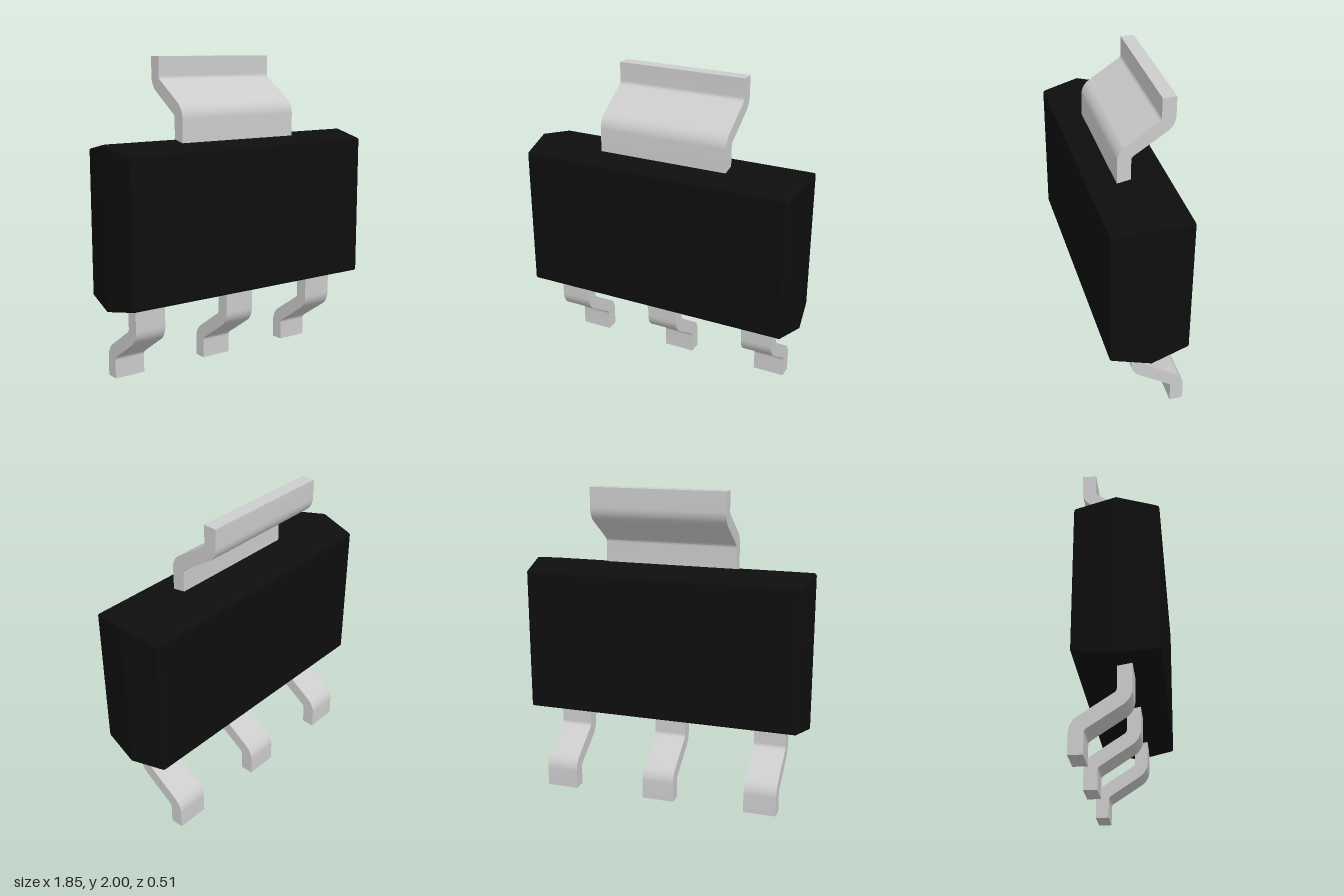
import * as THREE from 'three';
import { toCreasedNormals } from 'three/addons/utils/BufferGeometryUtils.js';

const THICK = 0.085, OUTER = 0.115, INNER = OUTER - THICK;
const TURN = THREE.MathUtils.degToRad(56.3);

// Points on an arc in the (z, y) plane
function arc(cz, cy, r, from, to, steps = 10) {
  return Array.from({ length: steps + 1 }, (_, i) => {
    const a = from + (to - from) * i / steps;
    return new THREE.Vector2(cz + r * Math.cos(a), cy + r * Math.sin(a));
  });
}

// S-bent strip of metal, extruded across x; flipped about y = 1 for the top tab
function bentStrip(width, flip) {
  const upper = [-0.025, 0.37], lower = [-0.14, 0.12], P = Math.PI;
  let pts = [
    new THREE.Vector2(upper[0] + OUTER, 0.56),
    ...arc(...upper, OUTER, 0, -TURN),
    ...arc(...lower, INNER, P - TURN, P),
    new THREE.Vector2(lower[0] - INNER, 0),
    new THREE.Vector2(lower[0] - OUTER, 0),
    ...arc(...lower, OUTER, P, P - TURN),
    ...arc(...upper, INNER, -TURN, 0),
    new THREE.Vector2(upper[0] + INNER, 0.56),
  ];
  if (flip) pts = pts.map(p => new THREE.Vector2(p.x, 2 - p.y));
  // the feet bend towards the back: profile x becomes world z
  const geo = new THREE.ExtrudeGeometry(new THREE.Shape(pts), { depth: width, bevelEnabled: false });
  geo.translate(0, 0, -width / 2).rotateY(-Math.PI / 2);
  return toCreasedNormals(geo, 0.4);
}

// Rounded rectangle ring, counter-clockwise seen from the front
function ring(hw, hh, r, z) {
  const out = [], steps = 4;
  [[1, 1], [-1, 1], [-1, -1], [1, -1]].forEach(([sx, sy], q) => {
    for (let i = 0; i <= steps; i++) {
      const a = (q + i / steps) * Math.PI / 2;
      out.push([sx * (hw - r) + r * Math.cos(a), 1 + sy * (hh - r) + r * Math.sin(a), z]);
    }
  });
  return out;
}

// Moulded block: widest at the parting line, tapering to front and back
function bodyGeometry() {
  const rings = [
    ring(0.872, 0.442, 0.006, -0.24),
    ring(0.880, 0.451, 0.010, -0.237),
    ring(0.885, 0.456, 0.012, -0.229),
    ring(0.926, 0.500, 0.014, 0.008),
    ring(0.885, 0.456, 0.012, 0.244),
    ring(0.880, 0.451, 0.010, 0.252),
    ring(0.872, 0.442, 0.006, 0.255),
  ];
  const n = rings[0].length, last = rings.length - 1, pos = [];
  const tri = (a, b, c) => pos.push(...a, ...b, ...c);
  for (let i = 0; i < n; i++) {
    const j = (i + 1) % n;
    for (let k = 0; k < last; k++) {
      const lo = rings[k], hi = rings[k + 1];
      tri(lo[i], lo[j], hi[j]);
      tri(lo[i], hi[j], hi[i]);
    }
    tri([0, 1, 0.255], rings[last][i], rings[last][j]);
    tri([0, 1, -0.24], rings[0][j], rings[0][i]);
  }
  const geo = new THREE.BufferGeometry();
  geo.setAttribute('position', new THREE.Float32BufferAttribute(pos, 3));
  return toCreasedNormals(geo, 0.15);
}

export function createModel() {
  const plastic = new THREE.MeshStandardMaterial({ name: 'black plastic', color: 0x0e0e0e });
  const metal = new THREE.MeshStandardMaterial({ name: 'tinned metal', color: 0xcccccc });
  const model = new THREE.Group();
  model.name = 'surfaceMountTransistor';
  const add = (name, geo, mat, x = 0) => {
    const mesh = new THREE.Mesh(geo, mat);
    mesh.name = name;
    mesh.position.x = x;
    model.add(mesh);
  };

  add('body', bodyGeometry(), plastic);
  add('heatTab', bentStrip(0.856, true), metal);

  // Three narrow pins
  const pin = bentStrip(0.208, false);
  add('rightPin', pin, metal, -0.672);
  add('middlePin', pin, metal, 0);
  add('leftPin', pin, metal, 0.672);
  return model;
}
